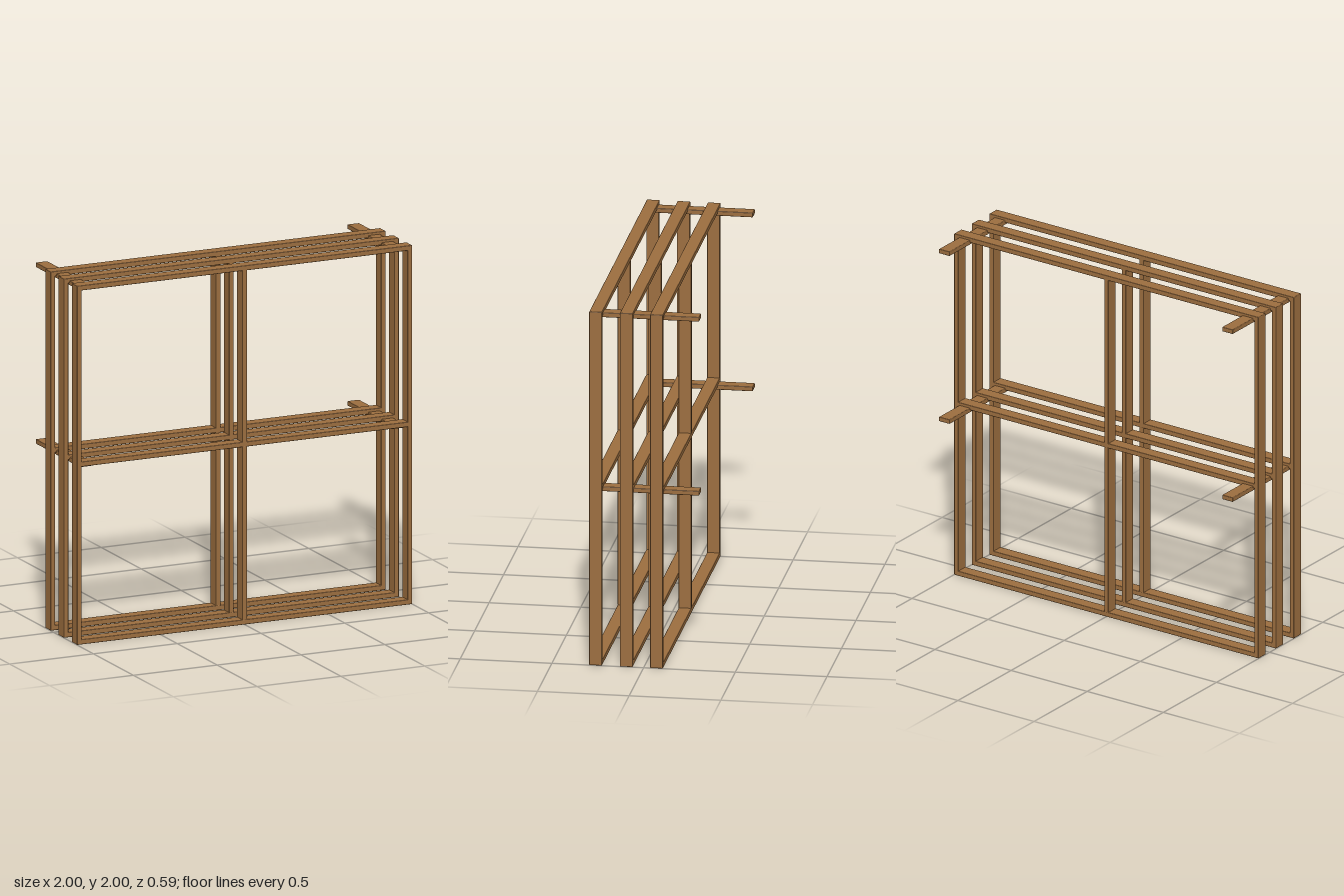
import * as THREE from 'three';
import { RoundedBoxGeometry } from 'three/addons/geometries/RoundedBoxGeometry.js';

const THICK = 0.028; // slat thickness
const WIDE = 0.07;   // slat width

export function createModel() {
  const wood = new THREE.MeshStandardMaterial({ color: 0x9c6e3f });
  wood.name = 'wood';
  const model = new THREE.Group();
  model.name = 'slattedFrameRack';

  // One timber slat with slightly eased edges
  function slat(parent, name, size, position) {
    const mesh = new THREE.Mesh(new RoundedBoxGeometry(...size, 2, 0.004), wood);
    mesh.name = name;
    mesh.position.set(...position);
    parent.add(mesh);
  }

  // Three identical window-like frames, one behind the other
  [0.262, 0.095, -0.07].forEach((z, i) => {
    const frame = new THREE.Group();
    frame.name = `frame${i + 1}`;
    frame.position.z = z;

    // Horizontal rails
    slat(frame, 'bottomRail', [2, THICK, WIDE], [0, THICK / 2, 0]);
    slat(frame, 'middleRail', [1.998, THICK, WIDE], [0, 1.004, 0]);
    slat(frame, 'topRail', [2, THICK, WIDE], [0, 2 - THICK / 2, 0]);

    // Outer uprights
    for (const side of [-1, 1]) {
      slat(frame, side > 0 ? 'leftUpright' : 'rightUpright',
        [THICK, 1.998, WIDE], [side * (1 - THICK / 2), 1, 0]);
    }

    // Centre uprights, above and below the middle rail
    slat(frame, 'lowerCentrePost', [THICK, 0.97, WIDE], [0, 0.509, 0]);
    slat(frame, 'upperCentrePost', [THICK, 0.97, WIDE], [0, 1.495, 0]);
    model.add(frame);
  });

  // Cross bars linking the frames and reaching back to the wall
  for (const [level, y] of [['middle', 0.989], ['top', 1.973]]) {
    for (const side of [-1, 1]) {
      slat(model, `${level}${side > 0 ? 'Left' : 'Right'}CrossBar`,
        [WIDE, 0.026, 0.552], [side * 0.93, y, -0.021]);
    }
  }
  return model;
}
